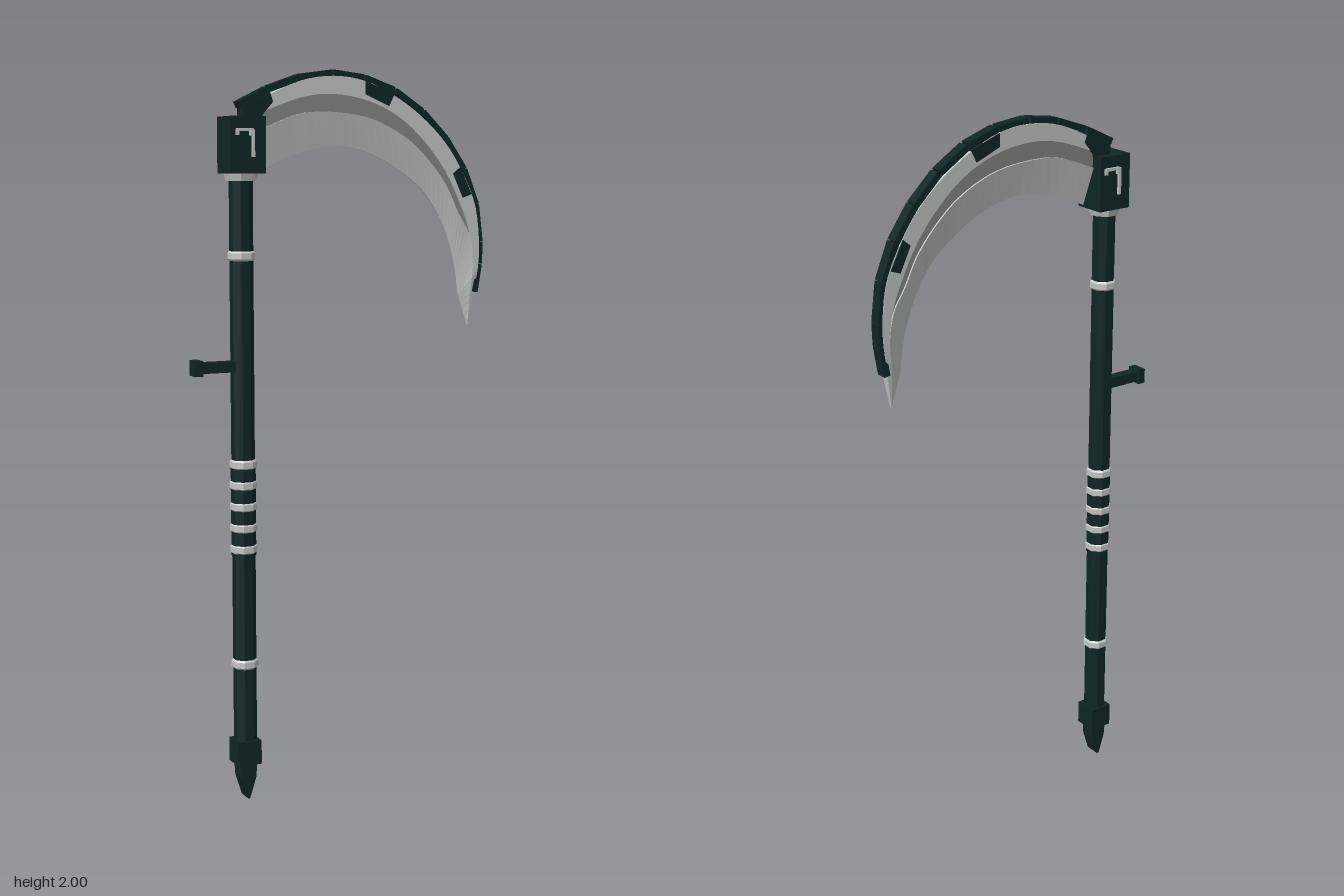
import * as THREE from 'three';

const mat = (name, color) => Object.assign(new THREE.MeshStandardMaterial({ color, flatShading: true }), { name });

export function createModel() {
  const root = new THREE.Group();
  root.name = 'scythe';
  const dark = mat('darkTeal', 0x0f2625);
  const silver = mat('silver', 0xc3c9c7);
  const grey = mat('fullerGrey', 0x858985);
  const PX = -0.3; // pole axis

  const add = (name, geo, m, x = 0, y = 0, z = 0) => {
    const mesh = new THREE.Mesh(geo, m);
    mesh.name = name;
    mesh.position.set(x, y, z);
    root.add(mesh);
    return mesh;
  };
  const box = (name, m, w, h, d, x, y, z = 0) => add(name, new THREE.BoxGeometry(w, h, d), m, x, y, z);
  const tube = (name, m, rTop, rBottom, y0, y1) => {
    const geo = new THREE.CylinderGeometry(rTop, rBottom, y1 - y0, 8).rotateY(Math.PI / 8);
    return add(name, geo, m, PX, (y0 + y1) / 2, 0);
  };
  // flat outline extruded evenly to both sides of z = 0
  const slab = (name, m, pts, depth) => {
    const shape = new THREE.Shape(pts.map(p => new THREE.Vector2(...p)));
    const geo = new THREE.ExtrudeGeometry(shape, { depth, bevelEnabled: false });
    return add(name, geo.translate(0, 0, -depth / 2), m);
  };

  // Pole, grip and rings
  tube('pole', dark, 0.032, 0.032, 0.15, 1.75);
  tube('grip', dark, 0.034, 0.034, 0.69, 0.95);
  for (const y of [0.385, 0.708, 0.767, 0.826, 0.885, 0.942, 1.505]) {
    tube('ring', silver, 0.037, 0.037, y - 0.008, y + 0.008);
    tube('ringTop', silver, 0.032, 0.037, y + 0.008, y + 0.013);
    tube('ringBottom', silver, 0.037, 0.032, y - 0.013, y - 0.008);
  }
  tube('neckRing', silver, 0.047, 0.04, 1.703, 1.727);

  // Foot
  box('footCollar', dark, 0.068, 0.068, 0.068, PX, 0.133);
  slab('footSpike', dark, [[PX - 0.025, 0.1], [PX - 0.022, 0.06], [PX - 0.003, 0.0], [PX + 0.003, 0.0],
    [PX + 0.022, 0.06], [PX + 0.025, 0.1]], 0.046);

  // Side handle
  box('handleBar', dark, 0.12, 0.029, 0.03, -0.37, 1.21);
  box('handleCap', dark, 0.022, 0.042, 0.044, -0.433, 1.21);

  // Head block with an ornament on both faces
  box('headBlock', dark, 0.1, 0.148, 0.094, -0.297, 1.797);
  for (const s of [1, -1]) {
    const bar = (w, h, x, y, d = 0.008) =>
      box('headOrnament', silver, w, h, d, -0.297 + s * x, y, s * (0.046 + d / 2));
    bar(0.045, 0.008, -0.012, 1.836);
    bar(0.008, 0.07, 0.012, 1.80);
    bar(0.012, 0.018, 0.008, 1.83, 0.01);
    bar(0.01, 0.016, -0.032, 1.83, 0.006);
  }

  // Blade guide lines from root to tip: back, groove top, groove bottom, cutting edge
  const line = pts => new THREE.CatmullRomCurve3(pts.map(([x, y]) => new THREE.Vector3(x, y, 0)), false, 'catmullrom', 0.5);
  const tip = [0.4, 1.293];
  const back = line([[-0.257, 1.913], [-0.135, 1.966], [-0.034, 1.982], [0.061, 1.971], [0.151, 1.934], [0.235, 1.881],
    [0.315, 1.807], [0.373, 1.722], [0.415, 1.627], [0.428, 1.505], [0.416, 1.394], tip]);
  const grooveTop = line([[-0.251, 1.881], [-0.13, 1.923], [-0.034, 1.934], [0.071, 1.918], [0.167, 1.876], [0.251, 1.807],
    [0.32, 1.722], [0.368, 1.632], [0.397, 1.558], [0.408, 1.474], [0.402, 1.384], tip]);
  const grooveLow = line([[-0.246, 1.839], [-0.13, 1.881], [-0.024, 1.886], [0.082, 1.87], [0.177, 1.828], [0.246, 1.775],
    [0.315, 1.696], [0.357, 1.616], [0.394, 1.553], [0.408, 1.474], [0.402, 1.384], tip]);
  const edge = line([[-0.225, 1.738], [-0.14, 1.775], [-0.013, 1.796], [0.103, 1.77], [0.198, 1.717], [0.262, 1.664],
    [0.315, 1.585], [0.347, 1.505], [0.362, 1.442], [0.368, 1.394], [0.375, 1.368], tip]);

  // Loft of four-point sections between two guide lines
  const loft = (name, m, outer, zo, inner, zi, tEnd = 1, n = 44) => {
    const rings = [];
    for (let i = 0; i <= n; i++) {
      const t = tEnd * i / n;
      const k = 1 - 0.8 * Math.max(0, (t - 0.86) / 0.14);
      const o = outer.getPoint(t), e = inner.getPoint(t);
      rings.push([[o.x, o.y, zo * k], [e.x, e.y, zi * k], [e.x, e.y, -zi * k], [o.x, o.y, -zo * k]]);
    }
    const v = [];
    for (let i = 0; i < n; i++) for (let k = 0; k < 4; k++) {
      const a = rings[i][k], b = rings[i][(k + 1) % 4], c = rings[i + 1][(k + 1) % 4], d = rings[i + 1][k];
      v.push(...a, ...b, ...c, ...a, ...c, ...d);
    }
    const [s, f] = [rings[0], rings[n]];
    v.push(...s[0], ...s[2], ...s[1], ...s[0], ...s[3], ...s[2]);
    v.push(...f[0], ...f[1], ...f[2], ...f[0], ...f[2], ...f[3]);
    const geo = new THREE.BufferGeometry();
    geo.setAttribute('position', new THREE.Float32BufferAttribute(v, 3));
    geo.computeVertexNormals();
    add(name, geo, m);
  };
  loft('bladeBack', silver, back, 0.018, grooveTop, 0.018);
  loft('bladeGroove', grey, grooveTop, 0.013, grooveLow, 0.013, 8 / 11);
  loft('bladeBevel', silver, grooveLow, 0.018, edge, 0.002);

  // Dark armour plates along the back of the blade
  const joints = [[-0.312, 1.9], [-0.222, 1.944], [-0.128, 1.977], [-0.034, 1.99], [0.063, 1.979], [0.156, 1.947],
    [0.245, 1.89], [0.319, 1.818], [0.378, 1.734], [0.418, 1.637], [0.432, 1.53], [0.43, 1.468], [0.417, 1.388]];
  for (let i = 0; i + 1 < joints.length; i++) {
    const [x0, y0] = joints[i], [x1, y1] = joints[i + 1];
    const len = Math.hypot(x1 - x0, y1 - y0) - (i < 6 ? 0.006 : 0.001);
    box('backPlate', dark, len, 0.018, 0.032, (x0 + x1) / 2, (y0 + y1) / 2).rotation.z = Math.atan2(y1 - y0, x1 - x0);
  }

  // Dark clasps gripping the blade
  slab('rootClasp', dark, [[-0.3, 1.86], [-0.25, 1.845], [-0.245, 1.875], [-0.214, 1.91], [-0.222, 1.935], [-0.3, 1.9]], 0.042);
  slab('middleClasp', dark, [[0.063, 1.935], [0.135, 1.905], [0.152, 1.938], [0.063, 1.97]], 0.041);
  slab('outerClasp', dark, [[0.34, 1.722], [0.372, 1.655], [0.4, 1.665], [0.362, 1.74]], 0.041);
  return root;
}
